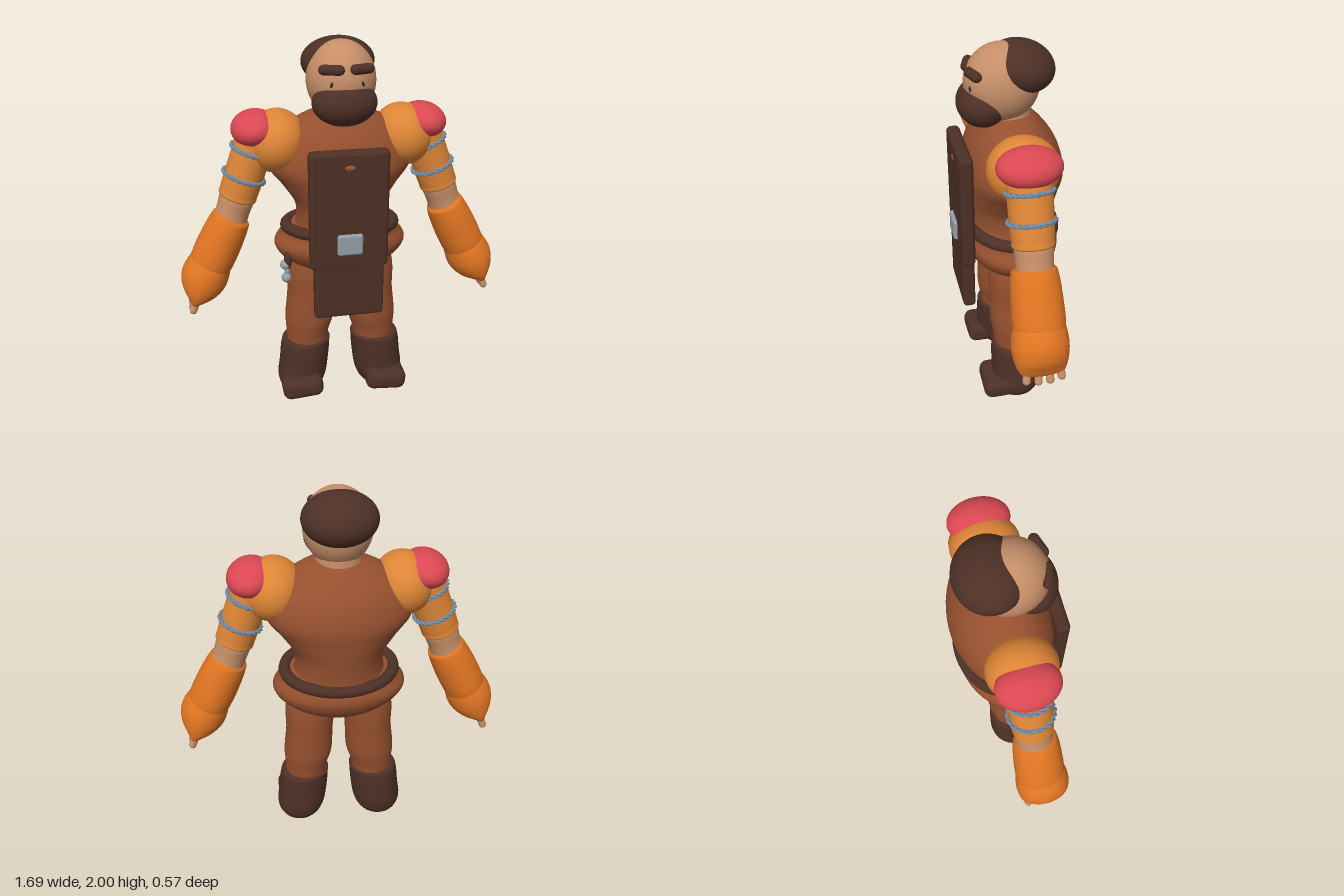
import * as THREE from 'three';
import { mergeVertices } from 'three/addons/utils/BufferGeometryUtils.js';
import { RoundedBoxGeometry } from 'three/addons/geometries/RoundedBoxGeometry.js';

const mat = (name, color) => {
  const m = new THREE.MeshStandardMaterial({ color });
  m.name = name;
  return m;
};

// Smooth body through elliptical sections [x, y, z, rx, rz], listed top to bottom
function loft(sections, rows = 40, sides = 40) {
  const centre = new THREE.CatmullRomCurve3(sections.map(s => new THREE.Vector3(s[0], s[1], s[2])), false, 'catmullrom', 0.5);
  const radius = new THREE.CatmullRomCurve3(sections.map(s => new THREE.Vector3(s[3], 0, s[4])), false, 'catmullrom', 0.5);
  let g = new THREE.CylinderGeometry(1, 1, 1, sides, rows, true);
  const p = g.attributes.position;
  for (let i = 0; i < p.count; i++) {
    const t = THREE.MathUtils.clamp(0.5 - p.getY(i), 0, 1);
    const c = centre.getPoint(t), r = radius.getPoint(t);
    p.setXYZ(i, c.x + p.getX(i) * r.x, c.y, c.z + p.getZ(i) * r.z);
  }
  g.deleteAttribute('uv');
  g.deleteAttribute('normal');
  g = mergeVertices(g, 1e-5);
  g.computeVertexNormals();
  return g;
}

// One strand of twisted rope wound into a ring
function ropeStrand(R, phase) {
  const pts = [];
  for (let i = 0; i < 120; i++) {
    const a = i / 120 * Math.PI * 2, w = a * 11 + phase;
    const r = R + 0.006 * Math.cos(w);
    pts.push(new THREE.Vector3(r * Math.cos(a), 0.006 * Math.sin(w), r * Math.sin(a)));
  }
  return new THREE.TubeGeometry(new THREE.CatmullRomCurve3(pts, true), 160, 0.007, 6, true);
}

export function createModel() {
  const brown = mat('brown cloth', 0x96502f), dark = mat('dark leather', 0x4d3026);
  const skin = mat('skin', 0xc68e68), orange = mat('orange gauntlet', 0xe07422);
  const amber = mat('amber sleeve', 0xdd8536), red = mat('red pad', 0xdb4852);
  const silver = mat('silver', 0x939ca6), rope = mat('blue rope', 0x7590a8);
  const ink = mat('eye ink', 0x2b3038), copper = mat('copper', 0x9c5535);

  const model = new THREE.Group();
  model.name = 'figure';
  const add = (name, geo, material, pos = [0, 0, 0], rot = [0, 0, 0], parent = model) => {
    const m = new THREE.Mesh(geo, material);
    m.name = name;
    m.position.set(...pos);
    m.rotation.set(...rot);
    parent.add(m);
    return m;
  };
  const ball = (name, material, pos, r, rot, parent) =>
    add(name, new THREE.SphereGeometry(1, 40, 28).scale(...r), material, pos, rot, parent);
  const box = (name, material, size, r, pos, rot) =>
    add(name, new RoundedBoxGeometry(...size, 4, r), material, pos, rot);

  // Torso and hips
  add('torso', loft([
    [0, 1.675, -0.01, 0.005, 0.005], [0, 1.66, -0.01, 0.1, 0.09], [0, 1.6, -0.02, 0.24, 0.155],
    [0, 1.5, -0.027, 0.345, 0.22], [0, 1.38, -0.027, 0.375, 0.252], [0, 1.27, -0.025, 0.3, 0.245],
    [0, 1.17, -0.025, 0.238, 0.23], [0, 1.08, -0.025, 0.23, 0.22], [0, 1.0, -0.02, 0.25, 0.22],
  ], 60, 48), brown);
  add('hips', loft([
    [0, 1.06, -0.02, 0.02, 0.02], [0, 1.045, -0.02, 0.27, 0.21], [0, 1.0, -0.02, 0.32, 0.235],
    [0, 0.94, -0.02, 0.35, 0.245], [0, 0.87, -0.02, 0.305, 0.215], [0, 0.81, -0.02, 0.2, 0.15],
    [0, 0.78, -0.02, 0.005, 0.005],
  ], 50, 48), brown);

  // Belt, a little higher at the front
  const beltPts = [];
  for (let i = 0; i < 32; i++) {
    const a = i / 32 * Math.PI * 2;
    beltPts.push(new THREE.Vector3(0.285 * Math.cos(a), 1.035 + 0.015 * Math.sin(a), -0.02 + 0.225 * Math.sin(a)));
  }
  add('belt', new THREE.TubeGeometry(new THREE.CatmullRomCurve3(beltPts, true), 80, 0.031, 12, true), dark);

  // Apron with buckle and stud
  box('apronUpper', dark, [0.4, 0.62, 0.07], 0.025, [0, 1.2, 0.232]);
  box('apronLower', dark, [0.36, 0.36, 0.065], 0.02, [0, 0.795, 0.233]);
  box('buckle', silver, [0.13, 0.11, 0.03], 0.013, [0, 1.03, 0.272]);
  ball('apronStud', copper, [0, 1.43, 0.266], [0.027, 0.014, 0.006]);

  // Hanging trinkets on the right hip
  ball('trinketStrap', dark, [-0.295, 0.89, 0.1], [0.02, 0.05, 0.03]);
  ball('trinketTop', silver, [-0.31, 0.865, 0.1], [0.026, 0.026, 0.032]);
  ball('trinketLink', silver, [-0.3, 0.825, 0.1], [0.014, 0.025, 0.014]);
  ball('trinketBottom', silver, [-0.305, 0.79, 0.1], [0.026, 0.026, 0.03]);

  // Head
  ball('skull', skin, [0, 1.805, 0.018], [0.172, 0.192, 0.185]);
  add('neck', new THREE.CylinderGeometry(0.11, 0.12, 0.14, 32), skin, [0, 1.66, -0.01]);
  ball('hair', dark, [0, 1.877, -0.072], [0.184, 0.122, 0.165], [-0.15, 0, 0]);
  ball('beard', dark, [0, 1.712, 0.115], [0.16, 0.114, 0.125]);

  for (const s of [1, -1]) {
    const side = s > 0 ? 'left' : 'right';

    // Brow and eye
    add(side + 'Brow', new THREE.CapsuleGeometry(0.025, 0.075, 8, 16), dark, [s * 0.073, 1.882, 0.17], [0, s * 0.3, Math.PI / 2]);
    ball(side + 'Eye', ink, [s * 0.075, 1.815, 0.184], [0.007, 0.014, 0.006], [0, 0, s * 0.3]);

    // Leg and boot
    add(side + 'Leg', loft([
      [s * 0.14, 0.97, -0.01, 0.1, 0.11], [s * 0.155, 0.8, -0.012, 0.132, 0.135], [s * 0.162, 0.65, -0.012, 0.128, 0.135],
      [s * 0.173, 0.5, -0.012, 0.132, 0.133], [s * 0.185, 0.4, -0.012, 0.116, 0.118], [s * 0.19, 0.3, -0.012, 0.11, 0.11],
    ]), brown);
    add(side + 'Boot', loft([
      [s * 0.19, 0.366, -0.012, 0.005, 0.005], [s * 0.19, 0.362, -0.012, 0.118, 0.118], [s * 0.198, 0.325, -0.012, 0.134, 0.134],
      [s * 0.208, 0.22, -0.012, 0.136, 0.136], [s * 0.222, 0.12, -0.012, 0.134, 0.135], [s * 0.228, 0.055, -0.012, 0.108, 0.11],
      [s * 0.23, 0.015, -0.012, 0.055, 0.055], [s * 0.23, 0.002, -0.012, 0.005, 0.005],
    ]), dark);
    box(side + 'Toe', dark, [0.225, 0.115, 0.2], 0.045, [s * 0.235, 0.118, 0.088], [0, 0, -s * 0.08]);

    // Shoulder
    ball(side + 'Shoulder', amber, [s * 0.325, 1.505, -0.01], [0.15, 0.16, 0.175], [0, 0, s * 0.35]);
    ball(side + 'ShoulderPad', red, [s * 0.43, 1.575, -0.012], [0.117, 0.088, 0.156], [0, 0, -s * 0.12]);

    // Upper arm: sleeve, rope rings, bare elbow
    const upper = new THREE.Group();
    upper.name = side + 'UpperArm';
    upper.position.set(s * 0.42, 1.53, -0.01);
    upper.rotation.z = s * 0.345;
    model.add(upper);
    add(side + 'Sleeve', loft([
      [0, 0.05, 0, 0.1, 0.11], [0, -0.08, 0, 0.1, 0.108], [0, -0.22, 0, 0.1, 0.106],
      [0, -0.3, 0, 0.098, 0.102], [0, -0.335, 0, 0.09, 0.094], [0, -0.338, 0, 0.01, 0.01],
    ]), amber, undefined, undefined, upper);
    add(side + 'Elbow', loft([
      [0, -0.3, 0, 0.085, 0.085], [0, -0.34, 0, 0.09, 0.094], [0, -0.41, 0, 0.086, 0.09], [0, -0.5, 0, 0.09, 0.095],
    ]), skin, undefined, undefined, upper);
    for (const y of [-0.075, -0.215])
      for (const phase of [0, Math.PI]) {
        const ring = add(side + 'Rope', ropeStrand(0.105, phase), rope, [0, y, 0], undefined, upper);
        ring.scale.z = 1.05;
      }

    // Forearm: gauntlet, mitten end, fingers
    const fore = new THREE.Group();
    fore.name = side + 'Forearm';
    fore.position.set(s * 0.572, 1.1, -0.005);
    fore.rotation.z = s * 0.46;
    model.add(fore);
    add(side + 'Gauntlet', loft([
      [0, 0.022, 0, 0.005, 0.005], [0, 0.018, 0, 0.085, 0.095], [0, -0.02, 0, 0.103, 0.115],
      [0, -0.14, 0, 0.113, 0.125], [0, -0.25, 0, 0.112, 0.127], [0, -0.32, 0, 0.1, 0.11],
    ]), orange, undefined, undefined, fore);
    add(side + 'Mitten', loft([
      [0, -0.23, 0.003, 0.09, 0.1], [0, -0.27, 0.003, 0.112, 0.128], [0, -0.35, 0.005, 0.122, 0.14],
      [0, -0.42, 0.005, 0.098, 0.132], [0, -0.47, 0.003, 0.05, 0.115], [0, -0.495, 0, 0.022, 0.09], [0, -0.505, 0, 0.003, 0.02],
    ]), orange, undefined, undefined, fore);
    for (let i = 0; i < 4; i++) {
      const z = -0.083 + i * 0.055;
      add(side + 'Finger', new THREE.CapsuleGeometry(0.02, 0.06, 6, 12), skin,
        [s * -0.004, i % 3 ? -0.5 : -0.49, z], [-z * 1.5, 0, -s * 0.1], fore);
    }
  }
  return model;
}
